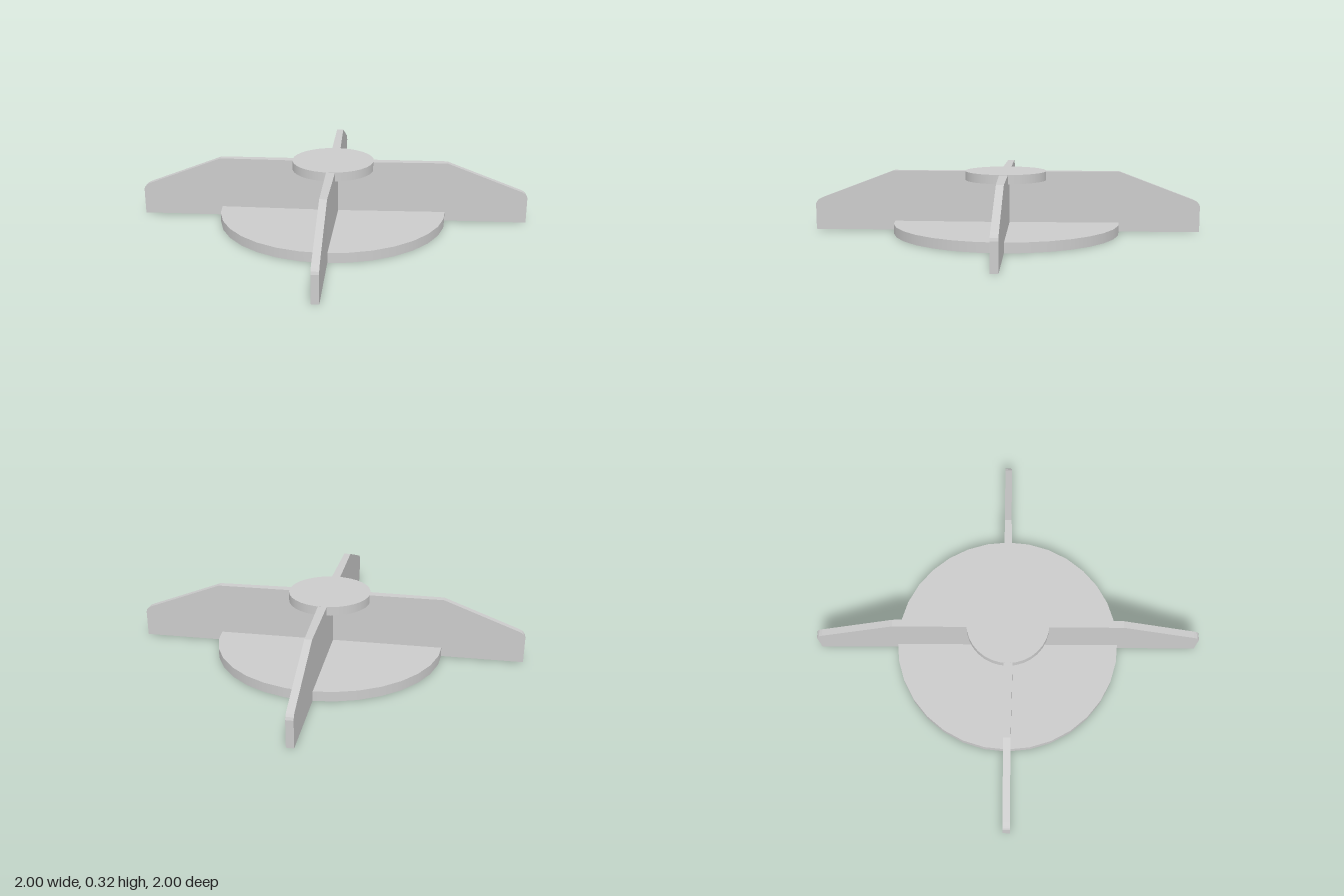
import * as THREE from 'three';

const material = new THREE.MeshStandardMaterial({ color: 0xcccccc });
const TOP = 0.315, RADIUS = 0.585, BACK = -0.02, FRONT = 0.016;

function part(name, geometry, parent) {
  const mesh = new THREE.Mesh(geometry, material);
  mesh.name = name;
  parent.add(mesh);
  return mesh;
}

function shapeOf(points) {
  return new THREE.Shape(points.map(([x, y]) => new THREE.Vector2(x, y)));
}

// One straight bar: a centre rib slightly thicker in the middle, plus a sloped blade at each end
function finPair(name) {
  const pair = new THREE.Group();
  pair.name = name;

  const plan = shapeOf([
    [-RADIUS, BACK], [RADIUS, BACK], [RADIUS, FRONT], [0, 0.029], [-RADIUS, FRONT],
  ]);
  const rib = new THREE.ExtrudeGeometry(plan, { depth: TOP - 0.003, bevelEnabled: false });
  rib.rotateX(Math.PI / 2).translate(0, TOP, 0);
  part('finRib', rib, pair);

  for (const side of [1, -1]) {
    const profile = shapeOf([
      [RADIUS, 0.003], [1, 0.003], [1, 0.137], [0.995, 0.15], [0.985, 0.161], [0.968, 0.17], [RADIUS, TOP],
    ].map(([x, y]) => [x * side, y]));
    const blade = new THREE.ExtrudeGeometry(profile, { depth: FRONT - BACK, bevelEnabled: false });
    blade.translate(0, 0, BACK);
    part(side > 0 ? 'leftBlade' : 'rightBlade', blade, pair);
  }
  return pair;
}

export function createModel() {
  const model = new THREE.Group();
  model.name = 'finnedStand';

  // Round base plate and small round cap, flush with the fin tops
  const base = part('basePlate', new THREE.CylinderGeometry(RADIUS, RADIUS, 0.05, 32), model);
  base.position.set(-0.002, 0.025, -0.002);
  const cap = part('topCap', new THREE.CylinderGeometry(0.21, 0.21, 0.046, 32), model);
  cap.position.set(0, TOP + 0.001 - 0.023, 0);

  // Crossed fins
  const across = finPair('sideFins');
  const along = finPair('frontBackFins');
  along.rotation.y = Math.PI / 2;
  model.add(across, along);
  return model;
}
